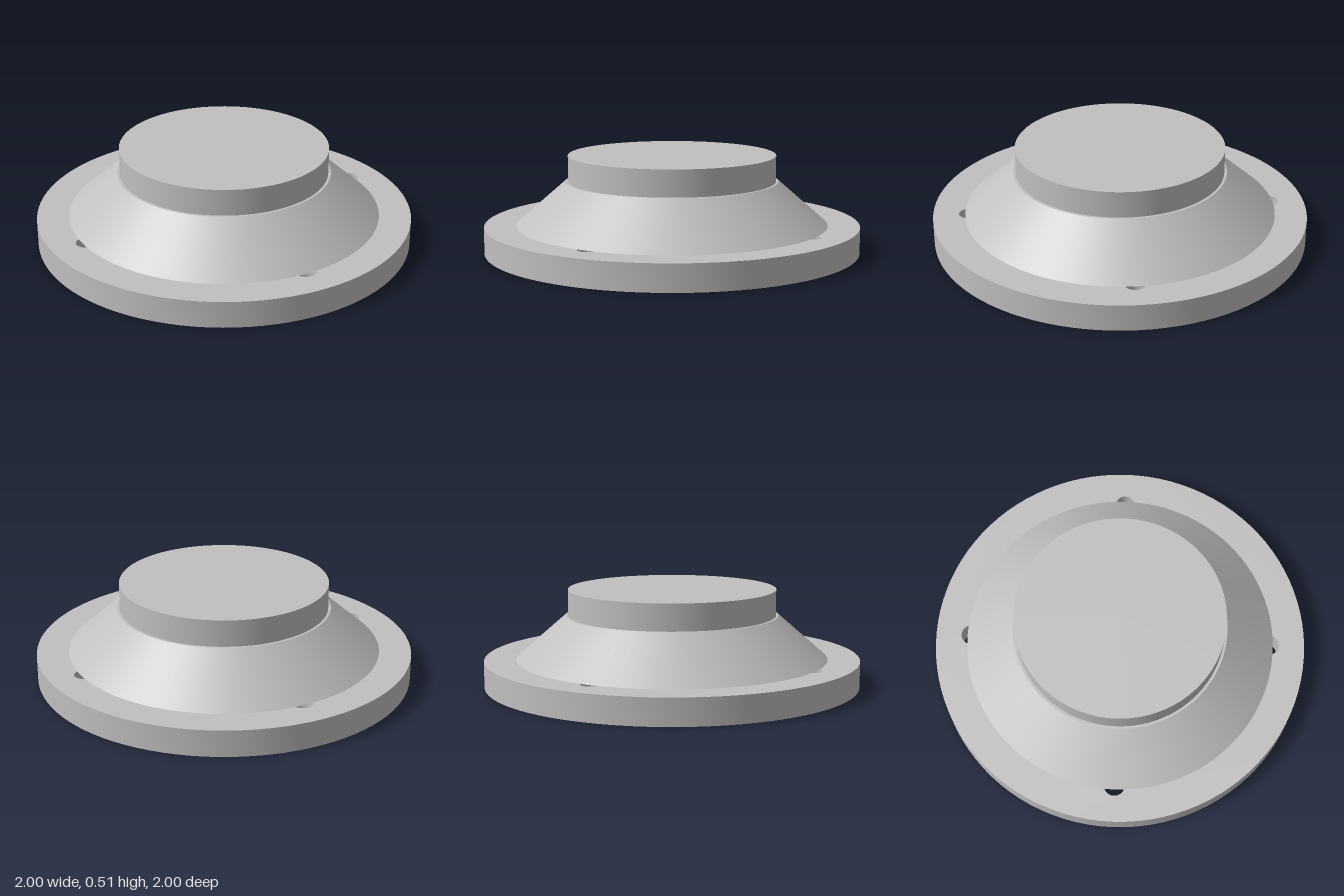
import * as THREE from 'three';
import { toCreasedNormals } from 'three/addons/utils/BufferGeometryUtils.js';

const SEGMENTS = 96;
const FLANGE_TOP = 0.14, CONE_TOP = 0.37, BOSS_TOP = 0.51;

export function createModel() {
  const model = new THREE.Group();
  model.name = 'flangedBase';

  const metal = new THREE.MeshStandardMaterial({ color: 0xc0c0c0 });
  metal.name = 'plain grey';

  const add = (name, geometry) => {
    const mesh = new THREE.Mesh(geometry, metal);
    mesh.name = name;
    model.add(mesh);
  };

  // Flange: round plate with four bolt holes on the diagonals
  const outline = new THREE.Shape();
  outline.absarc(0, 0, 1, 0, Math.PI * 2, false);
  for (const x of [-0.572, 0.572]) {
    for (const y of [-0.572, 0.572]) {
      const hole = new THREE.Path();
      hole.absarc(x, y, 0.054, 0, Math.PI * 2, true);
      outline.holes.push(hole);
    }
  }
  const plate = new THREE.ExtrudeGeometry(outline, {
    depth: FLANGE_TOP, bevelEnabled: false, curveSegments: SEGMENTS / 2,
  });
  plate.rotateX(-Math.PI / 2);
  add('flange', toCreasedNormals(plate, Math.PI / 6));

  // Round section standing between two heights
  const section = (name, rTop, rBottom, y0, y1) => {
    const geometry = new THREE.CylinderGeometry(rTop, rBottom, y1 - y0, SEGMENTS);
    geometry.translate(0, (y0 + y1) / 2, 0);
    add(name, geometry);
  };
  section('taperedBody', 0.567, 0.83, FLANGE_TOP, CONE_TOP);
  section('topBoss', 0.553, 0.553, CONE_TOP, BOSS_TOP);

  return model;
}
